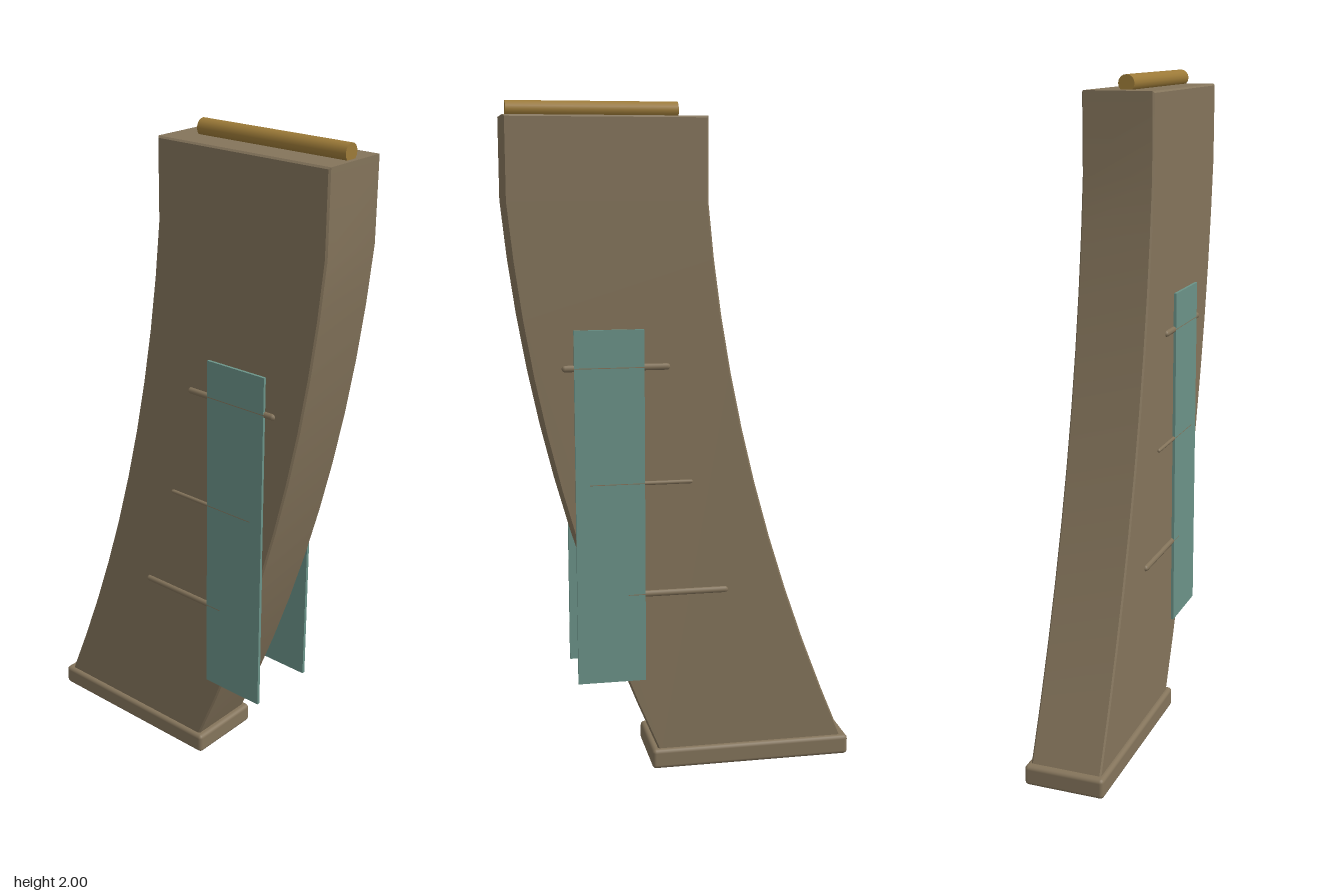
import * as THREE from 'three';
import { toCreasedNormals } from 'three/addons/utils/BufferGeometryUtils.js';
import { RoundedBoxGeometry } from 'three/addons/geometries/RoundedBoxGeometry.js';

export function createModel() {
  const group = new THREE.Group();
  const shell = new THREE.MeshStandardMaterial({ color: 0x84745b });
  const brass = new THREE.MeshStandardMaterial({ color: 0x9c7a38 });
  const glass = new THREE.MeshStandardMaterial({ color: 0x6b9388 });

  const add = (name, geometry, material, x, y, z) => {
    const mesh = new THREE.Mesh(geometry, material);
    mesh.name = name;
    mesh.position.set(x, y, z);
    group.add(mesh);
    return mesh;
  };

  // Curved body: side profile (shape x = model z) extruded across the width
  const bevel = 0.005, halfWidth = 0.109;
  const topY = 1.957, bendY = 1.72, bottomY = 0.05;
  const edge = (z) => new THREE.QuadraticBezierCurve(
    new THREE.Vector2(z, bendY),
    new THREE.Vector2(z - 0.072, 0.885),
    new THREE.Vector2(z - 0.436, bottomY)).getPoints(10);
  const front = edge(0.517 - bevel), back = edge(-0.065 + bevel);
  const profile = new THREE.Shape([
    new THREE.Vector2(front[0].x, topY - bevel),
    ...front,
    ...back.reverse(),
    new THREE.Vector2(-0.065 + bevel, topY - bevel),
  ]);
  const depth = 2 * (halfWidth - bevel);
  const body = new THREE.ExtrudeGeometry(profile, {
    depth, bevelEnabled: true, bevelThickness: bevel, bevelSize: bevel, bevelSegments: 1,
  });
  body.translate(0, 0, -depth / 2).rotateY(-Math.PI / 2);
  add('body', toCreasedNormals(body, 0.4), shell, 0, 0, 0);

  // Floor plate
  add('basePlate', new RoundedBoxGeometry(0.246, 0.062, 0.622, 2, 0.012), shell, 0, 0.031, -0.206);

  // Round lying on top
  add('topRound', new THREE.CylinderGeometry(0.025, 0.025, 0.497, 16).rotateX(Math.PI / 2),
    brass, 0, 1.975, 0.254);

  // Side windows and grip ribs: [y, front z, back z, radius, x]
  const ribs = [
    [1.245, 0.365, 0.047, 0.01, 0.108],
    [0.9, 0.293, -0.02, 0.006, 0.112],
    [0.56, 0.185, -0.13, 0.01, 0.108],
  ];
  for (const side of [1, -1]) {
    const label = side > 0 ? 'left' : 'right';
    add(label + 'Window', new THREE.BoxGeometry(0.01, 1.065, 0.205), glass, side * 0.1125, 0.823, 0.227);
    ribs.forEach(([y, z0, z1, r, x], i) => {
      const rib = new THREE.CapsuleGeometry(r, z0 - z1 - 2 * r, 3, 8).rotateX(Math.PI / 2);
      add(label + 'Rib' + (i + 1), rib, shell, side * x, y, (z0 + z1) / 2);
    });
  }
  return group;
}
